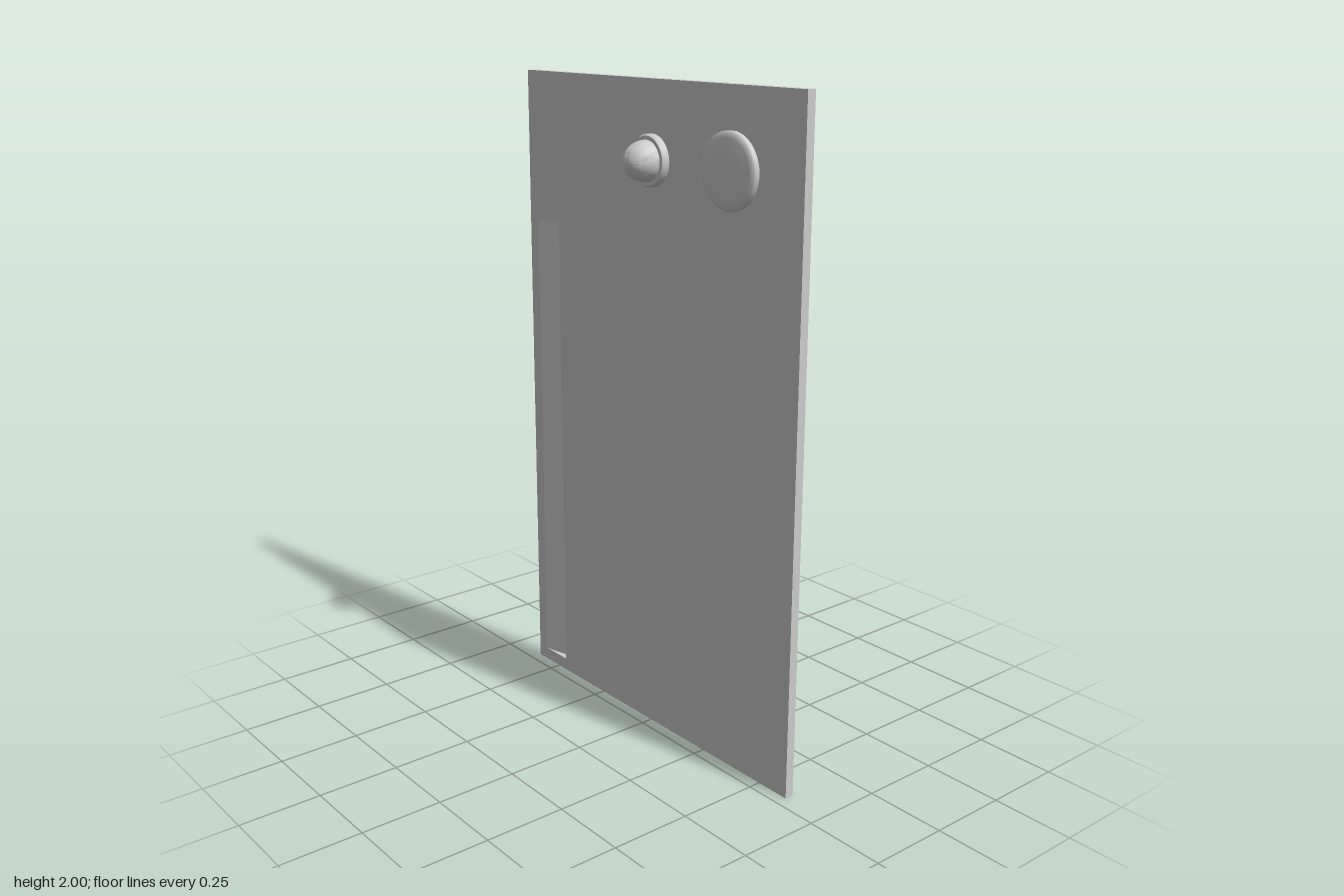
import * as THREE from 'three';
import { toCreasedNormals } from 'three/addons/utils/BufferGeometryUtils.js';

const FRONT = -0.036, BACK = -0.064; // panel depth range
const W = 0.612, H = 2;              // panel half width and height

const solid = new THREE.MeshStandardMaterial({ color: 0xcccccc });
const sheet = new THREE.MeshStandardMaterial({ color: 0xcccccc, side: THREE.DoubleSide });

function addMesh(parent, name, geometry, material) {
  const mesh = new THREE.Mesh(geometry, material);
  mesh.name = name;
  parent.add(mesh);
  return mesh;
}

// Flat-shaded polygons, each a list of corners counter-clockwise from its front
function facets(polygons) {
  const pos = [];
  for (const p of polygons)
    for (let i = 1; i < p.length - 1; i++) pos.push(...p[0], ...p[i], ...p[i + 1]);
  const g = new THREE.BufferGeometry();
  g.setAttribute('position', new THREE.Float32BufferAttribute(pos, 3));
  g.computeVertexNormals();
  return g;
}

function rectangle(Type, x0, y0, x1, y1) {
  return new Type([[x0, y0], [x1, y0], [x1, y1], [x0, y1]].map(([x, y]) => new THREE.Vector2(x, y)));
}

// Round part turned about the z axis; profile holds [radius, z]
function turned(profile, x, y) {
  const g = new THREE.LatheGeometry(profile.map(([r, z]) => new THREE.Vector2(r, z)), 40);
  g.rotateX(Math.PI / 2);
  g.translate(x, y, 0);
  return toCreasedNormals(g, 0.75);
}

export function createModel() {
  const model = new THREE.Group();
  model.name = 'door';

  // Door skin with an opening for the recessed grip
  const panel = new THREE.Group();
  panel.name = 'doorPanel';
  model.add(panel);
  const x0 = -0.57, x1 = -0.46, y0 = 0.04, y1 = 1.54;
  const face = rectangle(THREE.Shape, -W, 0, W, H);
  face.holes.push(rectangle(THREE.Path, x0, y0, x1, y1));
  addMesh(panel, 'frontFace', new THREE.ShapeGeometry(face).translate(0, 0, FRONT), sheet);

  // Rim folded backwards round the open back
  const corners = [[-W, 0], [W, 0], [W, H], [-W, H]];
  addMesh(panel, 'rim', facets(corners.map(([ax, ay], i) => {
    const [bx, by] = corners[(i + 1) % 4];
    return [[ax, ay, BACK], [bx, by, BACK], [bx, by, FRONT], [ax, ay, FRONT]];
  })), sheet);

  // Grip: a ramp sloping back to a straight wall, with wedge-shaped ends
  const deep = BACK + 0.002;
  addMesh(panel, 'gripRecess', facets([
    [[x0, y0, FRONT], [x1, y0, deep], [x1, y1, deep], [x0, y1, FRONT]],
    [[x1, y0, deep], [x1, y0, FRONT], [x1, y1, FRONT], [x1, y1, deep]],
    [[x0, y0, FRONT], [x1, y0, FRONT], [x1, y0, deep]],
    [[x0, y1, FRONT], [x1, y1, deep], [x1, y1, FRONT]],
  ]), sheet);

  // Rounded knob on a collar
  const knob = new THREE.Group();
  knob.name = 'knob';
  model.add(knob);
  addMesh(knob, 'knobCollar', turned(
    [[0.076, FRONT], [0.076, -0.022], [0.071, -0.014], [0, -0.014]], 0, 1.772), solid);
  const dome = [];
  for (let i = 0; i <= 10; i++) {
    const a = (i / 10) * Math.PI / 2;
    dome.push([i === 10 ? 0 : 0.06 * Math.cos(a), -0.014 + 0.075 * Math.sin(a)]);
  }
  addMesh(knob, 'knobDome', turned(dome, 0, 1.772), solid);

  // Flat round dial with a softened edge
  addMesh(model, 'dial', turned([
    [0.108, FRONT], [0.108, -0.024], [0.104, -0.019], [0.09, -0.015], [0.05, -0.0135], [0, -0.013],
  ], 0.336, 1.772), solid);

  return model;
}
